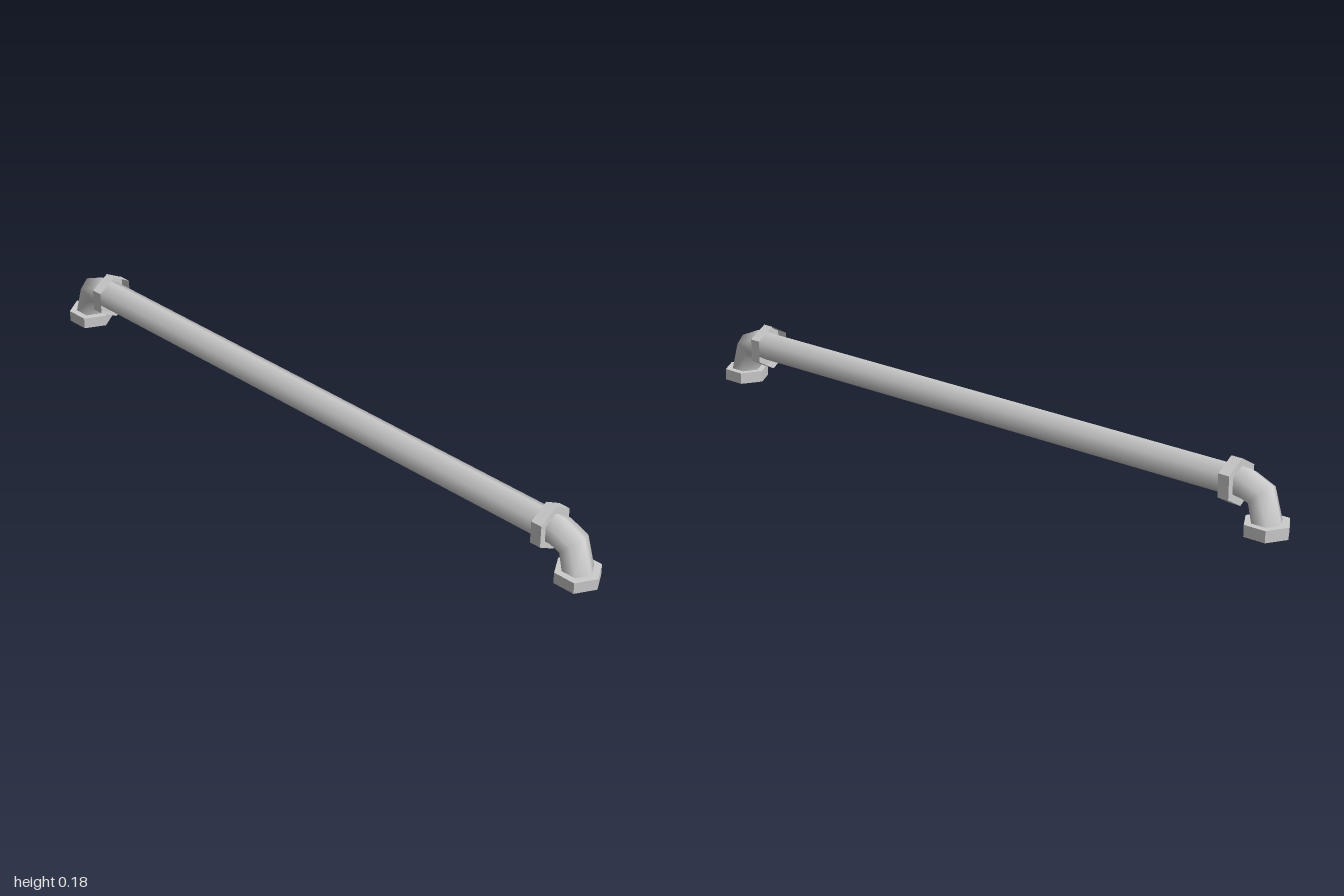
import * as THREE from 'three';

const PIPE_R = 0.044, NUT_R = 0.065, NUT_H = 0.033;
const PIPE_Y = 0.118, FOOT_Z = 0.935, COLLAR_Z = 0.82;

const smooth = new THREE.MeshStandardMaterial({ color: 0xcccccc, side: THREE.DoubleSide });
const faceted = new THREE.MeshStandardMaterial({ color: 0xcccccc, side: THREE.DoubleSide, flatShading: true });

function part(name, geometry, material) {
  const mesh = new THREE.Mesh(geometry, material);
  mesh.name = name;
  return mesh;
}

// Hexagonal cup, open below, with a hole for the pipe in its top
function nutGeometry() {
  const profile = [[NUT_R, 0], [NUT_R, NUT_H], [PIPE_R - 0.002, NUT_H]];
  return new THREE.LatheGeometry(profile.map(([r, y]) => new THREE.Vector2(r, y)), 6);
}

// Six-sided bend: each section is [y, z, tilt in degrees]
function elbowGeometry() {
  const sections = [[PIPE_Y, 0.84, 0], [PIPE_Y, 0.872, 8], [0.1, 0.916, 45], [NUT_H - 0.003, FOOT_Z, 90]];
  const positions = [], index = [], sides = 6;
  sections.forEach(([y, z, tilt], s) => {
    const a = THREE.MathUtils.degToRad(tilt);
    for (let i = 0; i < sides; i++) {
      const t = (i / sides) * Math.PI * 2;
      const out = PIPE_R * Math.cos(t);
      positions.push(PIPE_R * Math.sin(t), y + out * Math.cos(a), z + out * Math.sin(a));
      if (s === 0) continue;
      const j = (i + 1) % sides;
      const p = (s - 1) * sides, q = s * sides;
      index.push(p + i, q + i, p + j, p + j, q + i, q + j);
    }
  });
  const geometry = new THREE.BufferGeometry();
  geometry.setAttribute('position', new THREE.Float32BufferAttribute(positions, 3));
  geometry.setIndex(index);
  geometry.computeVertexNormals();
  return geometry;
}

// Elbow with a collar on the pipe and a foot on the floor
function createEnd(name) {
  const end = new THREE.Group();
  end.name = name;
  const collar = part('collarNut', nutGeometry().rotateX(Math.PI / 2), faceted);
  collar.position.set(0, PIPE_Y, COLLAR_Z);
  const foot = part('footNut', nutGeometry(), faceted);
  foot.position.z = FOOT_Z;
  end.add(collar, foot, part('elbow', elbowGeometry(), smooth));
  return end;
}

export function createModel() {
  const model = new THREE.Group();
  model.name = 'pipe';

  // Long straight pipe
  const pipe = part('straightPipe',
    new THREE.CylinderGeometry(PIPE_R, PIPE_R, 1.69, 6, 1, true).rotateX(Math.PI / 2), smooth);
  pipe.position.y = PIPE_Y;

  // Matching ends, front and back
  const back = createEnd('backEnd');
  back.rotation.y = Math.PI;
  model.add(pipe, createEnd('frontEnd'), back);
  return model;
}
